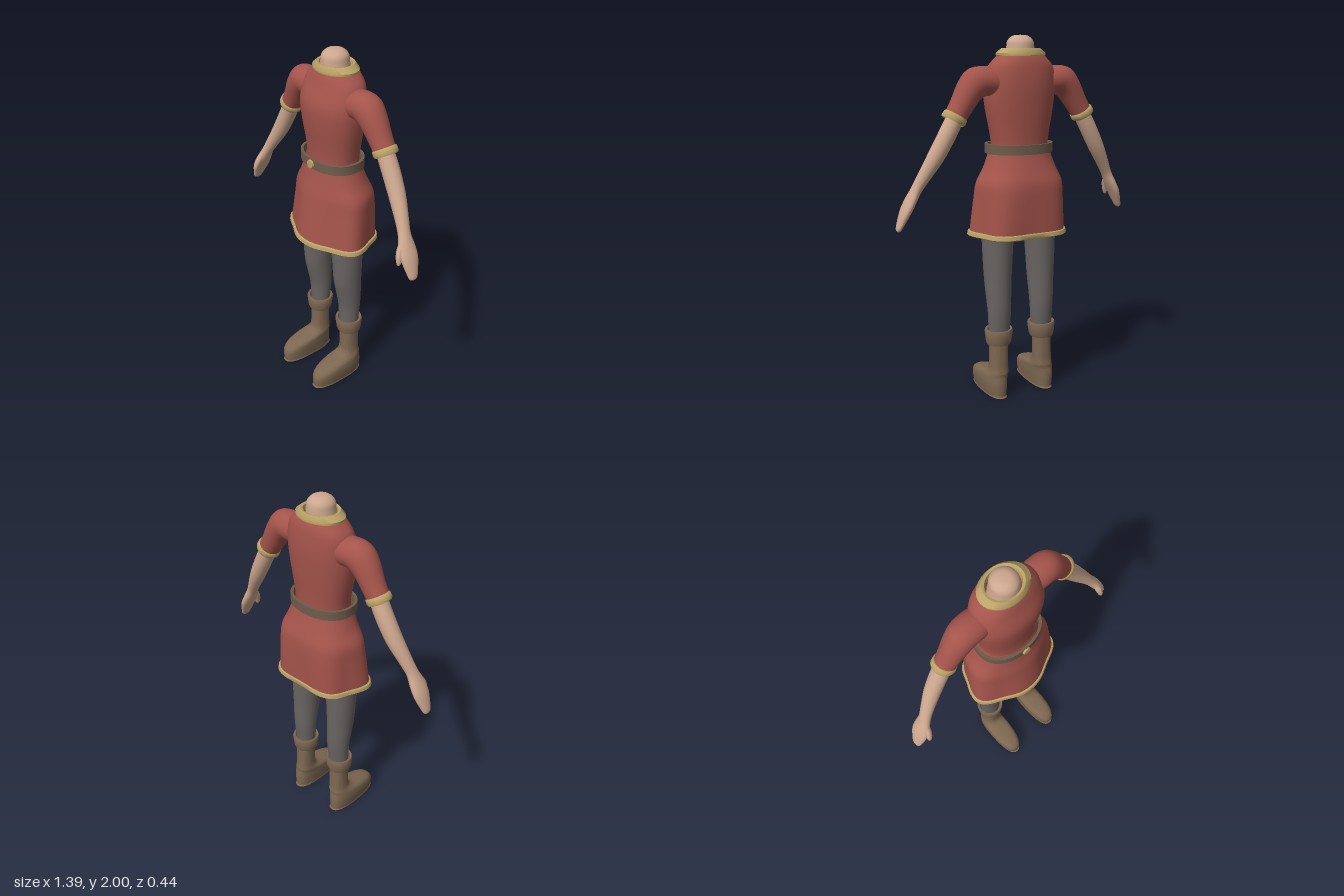
import * as THREE from 'three';
import { toCreasedNormals } from 'three/addons/utils/BufferGeometryUtils.js';

const material = (name, color, side = THREE.FrontSide) => {
  const m = new THREE.MeshStandardMaterial({ color, side });
  m.name = name;
  return m;
};

// Smooth interpolation of every ring value along a loft.
function spline(rings, steps) {
  if (steps < 2) return rings;
  const out = [];
  for (let i = 0; i < rings.length - 1; i++) {
    const [a, b, c, d] = [i - 1, i, i + 1, i + 2].map(k => rings[Math.min(Math.max(k, 0), rings.length - 1)]);
    for (let s = 0; s < steps; s++) {
      const t = s / steps;
      out.push(b.map((v, k) => {
        const m0 = (c[k] - a[k]) / 2, m1 = (d[k] - v) / 2;
        return v + t * (m0 + t * (3 * (c[k] - v) - 2 * m0 - m1 + t * (2 * (v - c[k]) + m0 + m1)));
      }));
    }
  }
  out.push(rings[rings.length - 1]);
  return out;
}

// Loft through rings [x, y, z, radiusU, radiusZ, tilt, fold], listed from top to bottom.
function loft(rings, { steps = 4, seg = 32, power = 2, side = 1, crease = 0 } = {}) {
  const full = rings.map(r => [...r, 0, 0].slice(0, 7));
  const rows = spline(full, steps), pos = [], index = [];
  const soft = v => Math.sign(v) * Math.abs(v) ** (2 / power);
  rows.forEach(([x, y, z, ru, rv, tilt, fold], j) => {
    for (let i = 0; i < seg; i++) {
      const a = i / seg * Math.PI * 2;
      const wave = 1 + fold * Math.cos(5 * (a - Math.PI / 2));
      const u = soft(Math.cos(a)) * ru * wave, v = soft(Math.sin(a)) * rv * wave;
      pos.push(side * x + u * Math.cos(tilt), y + side * u * Math.sin(tilt), z + v);
      if (j < rows.length - 1) {
        const p = j * seg + i, q = j * seg + (i + 1) % seg;
        index.push(p, q, p + seg, q, q + seg, p + seg);
      }
    }
  });
  const g = new THREE.BufferGeometry();
  g.setAttribute('position', new THREE.Float32BufferAttribute(pos, 3));
  g.setIndex(index);
  if (crease) return toCreasedNormals(g, crease);
  g.computeVertexNormals();
  return g;
}

export function createModel() {
  const model = new THREE.Group();
  const skin = material('skin', 0xcda78e);
  const cloth = material('red cloth', 0xa4544b, THREE.DoubleSide);
  const trim = material('gold trim', 0xbba267, THREE.DoubleSide);
  const belt = material('belt leather', 0x6e5c4b, THREE.DoubleSide);
  const wool = material('grey wool', 0x696462);
  const leather = material('boot leather', 0x7d6751);
  const add = (name, geometry, mat, parent = model) => {
    const mesh = new THREE.Mesh(geometry, mat);
    mesh.name = name;
    parent.add(mesh);
    return mesh;
  };

  // Neck stump and collar
  add('neck', loft([
    [0, 2, -0.04, 0.001, 0.001], [0, 1.995, -0.04, 0.04, 0.04], [0, 1.97, -0.04, 0.068, 0.068],
    [0, 1.93, -0.04, 0.075, 0.075], [0, 1.86, -0.04, 0.085, 0.08]]), skin);
  add('collar', loft([
    [0, 1.90, -0.045, 0.088, 0.075], [0, 1.928, -0.045, 0.092, 0.08], [0, 1.932, -0.045, 0.105, 0.092],
    [0, 1.907, -0.045, 0.138, 0.105], [0, 1.894, -0.045, 0.136, 0.104], [0, 1.89, -0.045, 0.11, 0.09]],
  { steps: 1, crease: 0.9 }), trim);

  // Tunic body and flared, folded skirt
  add('tunicBody', loft([
    [0, 1.91, -0.045, 0.11, 0.09], [0, 1.88, -0.045, 0.145, 0.105], [0, 1.83, -0.042, 0.185, 0.118],
    [0, 1.73, -0.028, 0.2, 0.137], [0, 1.62, -0.027, 0.19, 0.132], [0, 1.5, -0.03, 0.168, 0.12],
    [0, 1.42, -0.03, 0.158, 0.116], [0, 1.36, -0.03, 0.165, 0.12]], { seg: 40, power: 2.2 }), cloth);
  add('skirt', loft([
    [0, 1.42, -0.03, 0.165, 0.12], [0, 1.37, -0.03, 0.18, 0.13], [0, 1.3, -0.035, 0.207, 0.148, 0, 0.01],
    [0, 1.23, -0.04, 0.243, 0.167, 0, 0.025], [0, 1.15, -0.038, 0.252, 0.175, 0, 0.04],
    [0, 1.05, -0.032, 0.26, 0.182, 0, 0.05], [0, 0.95, -0.025, 0.268, 0.188, 0, 0.055]],
  { seg: 80, power: 2.2 }), cloth);
  add('skirtHem', loft([
    [0, 0.966, -0.025, 0.265, 0.186, 0, 0.055], [0, 0.962, -0.025, 0.276, 0.195, 0, 0.055],
    [0, 0.942, -0.025, 0.28, 0.198, 0, 0.055], [0, 0.936, -0.025, 0.273, 0.192, 0, 0.055],
    [0, 0.938, -0.025, 0.262, 0.183, 0, 0.055], [0, 0.96, -0.025, 0.262, 0.183, 0, 0.055]],
  { seg: 80, power: 2.2, steps: 1, crease: 0.9 }), trim);

  // Loose belt with a round buckle
  add('belt', loft([
    [0, 1.39, -0.025, 0.172, 0.128], [0, 1.436, -0.025, 0.175, 0.13], [0, 1.436, -0.025, 0.19, 0.144],
    [0, 1.385, -0.025, 0.19, 0.144], [0, 1.385, -0.025, 0.172, 0.128]],
  { seg: 40, power: 2.2, steps: 1, crease: 0.6 }), belt);
  const buckle = add('buckle', new THREE.CylinderGeometry(0.022, 0.025, 0.012, 16), trim);
  buckle.rotation.x = Math.PI / 2;
  buckle.position.set(0, 1.41, 0.122);

  for (const side of [1, -1]) {
    const label = side > 0 ? 'left' : 'right';
    const arm = new THREE.Group(), leg = new THREE.Group();
    arm.name = label + 'Arm';
    leg.name = label + 'Leg';
    model.add(arm, leg);

    // Short puffed sleeve with trimmed cuff
    add('sleeve', loft([
      [0.12, 1.755, -0.04, 0.075, 0.075, 1.5], [0.2, 1.765, -0.04, 0.08, 0.08, 1.35],
      [0.255, 1.757, -0.04, 0.083, 0.078, 0.95], [0.3, 1.712, -0.04, 0.072, 0.072, 0.65],
      [0.345, 1.64, -0.043, 0.062, 0.062, 0.54], [0.387, 1.575, -0.045, 0.058, 0.057, 0.52]], { side }), cloth, arm);
    add('sleeveCuff', loft([
      [0.373, 1.6, -0.045, 0.057, 0.056, 0.52], [0.376, 1.595, -0.045, 0.065, 0.063, 0.52],
      [0.389, 1.574, -0.045, 0.067, 0.064, 0.52], [0.394, 1.566, -0.045, 0.061, 0.06, 0.52],
      [0.389, 1.574, -0.045, 0.05, 0.05, 0.52]], { side, steps: 1, crease: 1 }), trim, arm);

    // Bare forearm running into a mitten-like hand
    add('forearmAndHand', loft([
      [0.37, 1.6, -0.045, 0.045, 0.046, 0.52], [0.425, 1.5, -0.046, 0.047, 0.047, 0.52],
      [0.49, 1.385, -0.038, 0.044, 0.044, 0.54], [0.55, 1.285, -0.02, 0.034, 0.037, 0.54],
      [0.587, 1.22, -0.006, 0.028, 0.036, 0.5], [0.616, 1.165, 0.002, 0.028, 0.05, 0.45],
      [0.645, 1.11, 0.004, 0.026, 0.052, 0.4], [0.671, 1.05, 0.008, 0.019, 0.037, 0.35],
      [0.685, 1.015, 0.01, 0.012, 0.024, 0.3], [0.688, 1.004, 0.01, 0.001, 0.001, 0.3]], { side, seg: 24 }), skin, arm);
    add('thumb', loft([
      [0.6, 1.2, 0.02, 0.012, 0.014, 0.4], [0.612, 1.16, 0.042, 0.018, 0.02, 0.4],
      [0.622, 1.12, 0.055, 0.016, 0.018, 0.4], [0.628, 1.09, 0.06, 0.01, 0.011, 0.4],
      [0.63, 1.082, 0.06, 0.001, 0.001, 0.4]], { side, seg: 16 }), skin, arm);

    // Trouser leg, bent slightly back below the knee
    add('trouserLeg', loft([
      [0.11, 1.24, -0.03, 0.001, 0.001], [0.115, 1.2, -0.03, 0.08, 0.08], [0.125, 1.05, -0.025, 0.093, 0.094],
      [0.13, 0.94, -0.025, 0.089, 0.09], [0.133, 0.8, -0.027, 0.082, 0.086], [0.134, 0.68, -0.03, 0.075, 0.082],
      [0.134, 0.58, -0.04, 0.07, 0.072], [0.133, 0.5, -0.047, 0.066, 0.063], [0.134, 0.4, -0.045, 0.061, 0.056],
      [0.135, 0.34, -0.045, 0.056, 0.053]], { side }), wool, leg);

    // Boot: folded cuff, shaft and rounded foot
    add('bootCuff', loft([
      [0.136, 0.37, -0.043, 0.058, 0.054], [0.136, 0.398, -0.043, 0.064, 0.062], [0.136, 0.4, -0.043, 0.076, 0.074],
      [0.136, 0.39, -0.043, 0.08, 0.078], [0.137, 0.33, -0.043, 0.073, 0.071], [0.138, 0.314, -0.043, 0.067, 0.066],
      [0.138, 0.31, -0.043, 0.045, 0.045]], { side, steps: 1, crease: 0.8 }), leather, leg);
    add('boot', loft([
      [0.138, 0.33, -0.045, 0.05, 0.052], [0.139, 0.24, -0.045, 0.05, 0.054], [0.14, 0.17, -0.043, 0.052, 0.057],
      [0.142, 0.142, -0.028, 0.058, 0.077], [0.145, 0.124, 0.015, 0.064, 0.118], [0.147, 0.103, 0.045, 0.066, 0.152],
      [0.148, 0.075, 0.056, 0.066, 0.166], [0.148, 0.04, 0.058, 0.062, 0.168], [0.147, 0.006, 0.057, 0.057, 0.165],
      [0.147, 0, 0.057, 0.053, 0.16], [0.147, 0, 0.057, 0.001, 0.001]],
    { side, steps: 3, power: 2.5, crease: 0.9 }), leather, leg);
  }
  return model;
}
